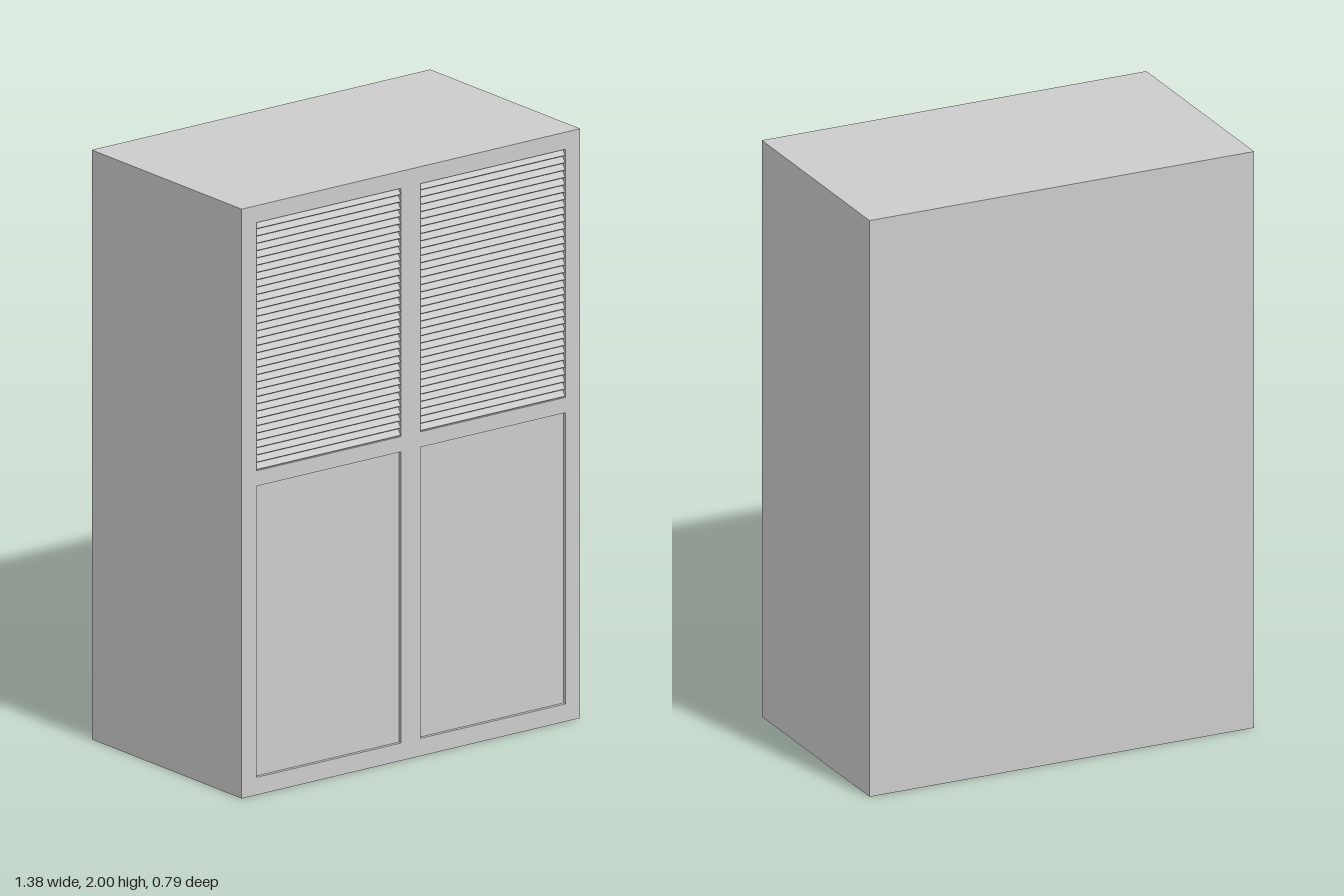
import * as THREE from 'three';

const W = 1.384, H = 2, D = 0.79;
const FRAME = 0.025;              // depth of the front frame
const X0 = 0.04, X1 = 0.632;      // inner and outer edge of each opening
const LOW = [0.06, 1.048], HIGH = [1.1, 1.942];
const SLATS = 34;

const material = new THREE.MeshStandardMaterial({ color: 0xcccccc });

function add(parent, name, geometry, x, y, z) {
  const mesh = new THREE.Mesh(geometry, material);
  mesh.name = name;
  mesh.position.set(x, y, z);
  parent.add(mesh);
  return mesh;
}

// Rectangular outline, used for the frame and its openings
function rectangle(path, x0, y0, x1, y1) {
  path.moveTo(x0, y0);
  path.lineTo(x1, y0);
  path.lineTo(x1, y1);
  path.lineTo(x0, y1);
  path.closePath();
  return path;
}

export function createModel() {
  const group = new THREE.Group();
  group.name = 'louvredCabinet';
  const frameBack = D / 2 - FRAME;
  const width = X1 - X0;

  // Closed cabinet body behind the frame
  add(group, 'cabinetBody', new THREE.BoxGeometry(W, H, D - FRAME), 0, H / 2, -FRAME / 2);

  // Front frame with four openings
  const outline = rectangle(new THREE.Shape(), -W / 2, 0, W / 2, H);
  for (const [y0, y1] of [LOW, HIGH]) {
    outline.holes.push(rectangle(new THREE.Path(), X0, y0, X1, y1));
    outline.holes.push(rectangle(new THREE.Path(), -X1, y0, -X0, y1));
  }
  const frame = new THREE.ExtrudeGeometry(outline, { depth: FRAME, bevelEnabled: false });
  add(group, 'frontFrame', frame, 0, 0, frameBack);

  // Each slat is a thin board leaning out at its lower edge
  const pitch = (HIGH[1] - HIGH[0]) / SLATS;
  const slat = new THREE.BoxGeometry(width, pitch * 1.05, 0.006);
  slat.rotateX(-0.62);

  for (const side of [1, -1]) {
    const label = side > 0 ? 'left' : 'right';
    const x = side * (X0 + X1) / 2;

    // Plain lower panel, slightly recessed
    const panelDepth = FRAME - 0.012;
    add(group, label + 'LowerPanel', new THREE.BoxGeometry(width, LOW[1] - LOW[0], panelDepth),
      x, (LOW[0] + LOW[1]) / 2, frameBack + panelDepth / 2);

    // Louvre filling the upper opening
    const louvre = new THREE.Group();
    louvre.name = label + 'Louvre';
    for (let i = 0; i < SLATS; i++) {
      add(louvre, 'slat', slat, x, HIGH[0] + (i + 0.5) * pitch, frameBack + 0.012);
    }
    group.add(louvre);
  }
  return group;
}
